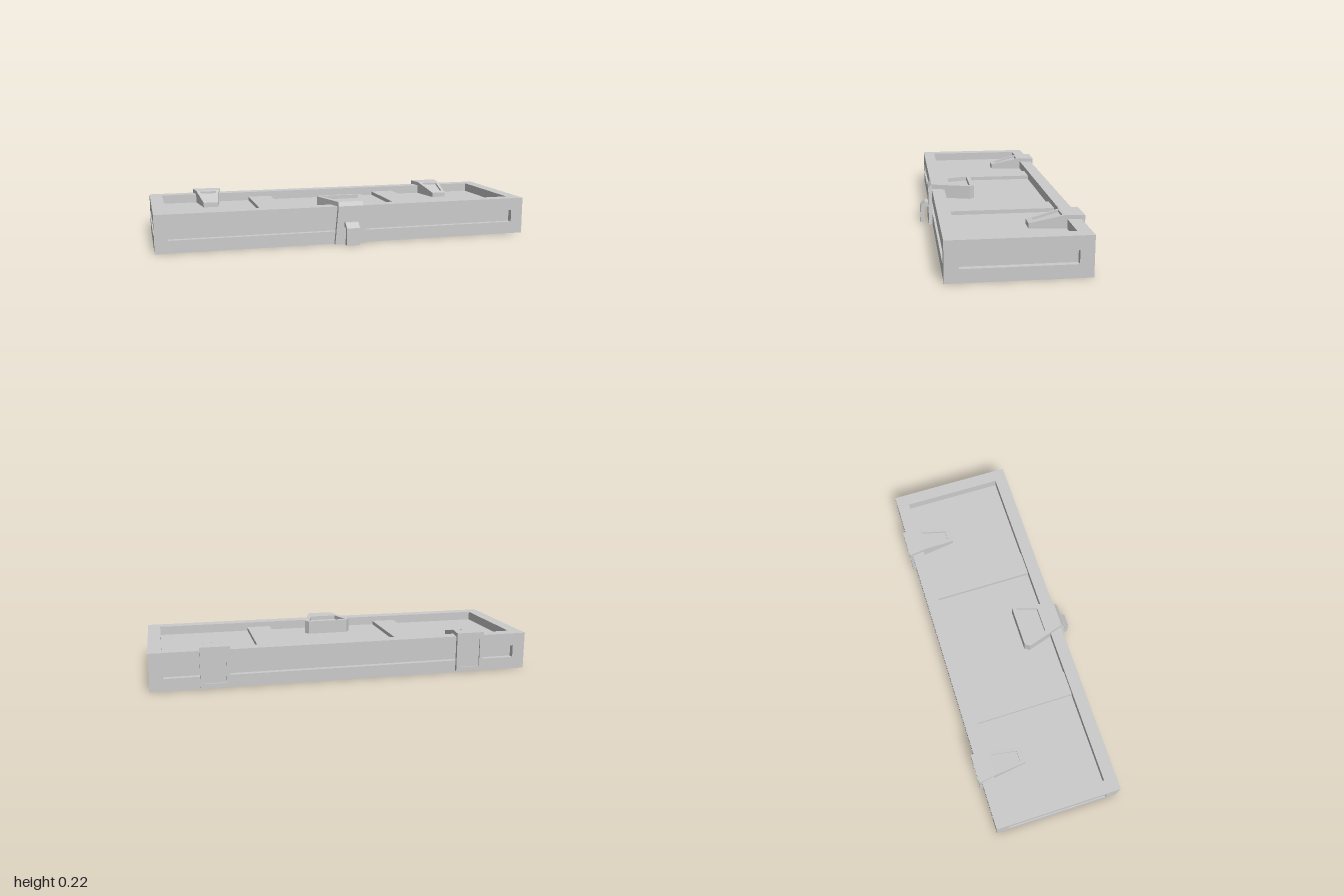
import * as THREE from 'three';

const material = new THREE.MeshStandardMaterial({ color: 0xcccccc, flatShading: true });

// Body: half width, half depth, depth centre, height; and half size of the opening
const [HALF_W, HALF_D, MID_Z, HEIGHT] = [1, 0.3335, -0.0235, 0.197];
const [OPEN_W, OPEN_D] = [0.933, 0.267];

function add(parent, name, geometry) {
  const mesh = new THREE.Mesh(geometry, material);
  mesh.name = name;
  parent.add(mesh);
  return mesh;
}

function box(x0, x1, y0, y1, z0, z1) {
  return new THREE.BoxGeometry(x1 - x0, y1 - y0, z1 - z0)
    .translate((x0 + x1) / 2, (y0 + y1) / 2, (z0 + z1) / 2);
}

// Turns a box inside out and drops its open faces (+x, -x, +y, -y, +z, -z = 0..5)
function cavity(geometry, openFaces) {
  const index = Array.from(geometry.index.array).filter((_, i) => !openFaces.includes(Math.floor(i / 6)));
  geometry.setIndex(index.reverse());
  geometry.clearGroups();
  geometry.computeVertexNormals();
  return geometry;
}

// Outline as a shape, always counter-clockwise, with an optional clockwise hole
function makeShape(outline, hole, flip = 1) {
  const points = (pts, clockwise) => {
    const list = pts.map(([a, b]) => new THREE.Vector2(a, b * flip));
    return THREE.ShapeUtils.isClockWise(list) === clockwise ? list : list.reverse();
  };
  const shape = new THREE.Shape(points(outline, false));
  if (hole) shape.holes.push(new THREE.Path(points(hole, true)));
  return shape;
}

const rect = (x0, x1, y0, y1) => [[x0, y0], [x1, y0], [x1, y1], [x0, y1]];

// Plan outline in (x, z), raised from y0 to y1; topRule may tilt the upper face
function planExtrude(outline, hole, y0, y1, topRule) {
  const g = new THREE.ExtrudeGeometry(makeShape(outline, hole, -1), { depth: y1 - y0, bevelEnabled: false });
  g.rotateX(-Math.PI / 2).translate(0, y0, 0);
  if (topRule) {
    const p = g.attributes.position;
    for (let i = 0; i < p.count; i++) {
      if (p.getY(i) > (y0 + y1) / 2) p.setY(i, topRule(p.getZ(i)));
    }
    g.computeVertexNormals();
  }
  return g;
}

// Side profile in (z, y), extended across x with a half width that depends on y
function sideExtrude(profile, halfWidth) {
  const g = new THREE.ExtrudeGeometry(makeShape(profile), { depth: 2, bevelEnabled: false });
  g.translate(0, 0, -1).rotateY(-Math.PI / 2);
  const p = g.attributes.position;
  for (let i = 0; i < p.count; i++) p.setX(i, p.getX(i) * halfWidth(p.getY(i)));
  g.computeVertexNormals();
  return g;
}

// Outer wall facing +z with a long slot sunk into it
function createWall(half, slotHalf) {
  const wall = new THREE.Group();
  wall.name = 'wall';
  const face = makeShape(rect(-half, half, 0, HEIGHT), rect(-slotHalf, slotHalf, 0.065, 0.13));
  add(wall, 'wallFace', new THREE.ShapeGeometry(face));
  add(wall, 'wallSlot', cavity(box(-slotHalf, slotHalf, 0.065, 0.13, -0.03, 0), [4]));
  return wall;
}

function createFrame() {
  const frame = new THREE.Group();
  frame.name = 'frame';
  for (let i = 0; i < 4; i++) {
    const long = i % 2 === 0;
    const wall = long ? createWall(HALF_W, OPEN_W) : createWall(HALF_D, OPEN_D);
    wall.rotation.y = i * Math.PI / 2;
    wall.translateZ(long ? HALF_D : HALF_W);
    frame.add(wall);
  }
  // Upper and lower rims around the opening
  const rim = makeShape(rect(-HALF_W, HALF_W, -HALF_D, HALF_D), rect(-OPEN_W, OPEN_W, -OPEN_D, OPEN_D));
  add(frame, 'upperRim', new THREE.ShapeGeometry(rim).rotateX(-Math.PI / 2).translate(0, HEIGHT, 0));
  add(frame, 'lowerRim', new THREE.ShapeGeometry(rim).rotateX(Math.PI / 2));
  add(frame, 'innerWalls', cavity(box(-OPEN_W, OPEN_W, 0, HEIGHT, -OPEN_D, OPEN_D), [2, 3]));
  // Sunken panel with two raised bands
  add(frame, 'panel', box(-OPEN_W, OPEN_W, 0.08, 0.15, -OPEN_D, OPEN_D));
  for (const side of [-1, 1]) {
    add(frame, 'panelBand', box(-0.065, 0.065, 0.149, 0.17, -OPEN_D, OPEN_D)).position.x = side * 0.377;
  }
  frame.position.z = MID_Z;
  return frame;
}

function createHinge(x) {
  const hinge = new THREE.Group();
  hinge.name = 'hinge';
  // Back plate with a shallow recessed window
  const plate = makeShape(rect(-0.075, 0.075, 0.009, 0.217), rect(-0.055, 0.055, 0.03, 0.18));
  add(hinge, 'backPlate', new THREE.ExtrudeGeometry(plate, { depth: 0.016, bevelEnabled: false })
    .translate(0, 0, -0.373));
  add(hinge, 'backPlateFloor', box(-0.055, 0.055, 0.03, 0.18, -0.365, -0.357));
  // Flat saddle over the frame
  add(hinge, 'saddle', planExtrude(
    [[-0.075, -0.357], [0.075, -0.357], [0.064, -0.283], [-0.064, -0.283]], null, 0.19, 0.217));
  // Sloping tongue with a pocket, reaching down through the panel
  const slope = (z) => 0.217 - (z + 0.283) * 0.24;
  const pocket = [[-0.045, -0.27], [0.045, -0.27], [0.029, -0.137], [-0.029, -0.137]];
  const tongue = [[-0.064, -0.283], [0.064, -0.283], [0.04, -0.11], [-0.04, -0.11]];
  add(hinge, 'tongue', planExtrude(tongue, pocket, 0.012, 0.2, slope));
  add(hinge, 'pocketFloor', planExtrude(pocket, null, 0.012, 0.2, (z) => slope(z) - 0.012));
  add(hinge, 'tongueRoot', planExtrude(
    [[-0.065, -0.291], [0.065, -0.291], [0.064, -0.283], [-0.064, -0.283]], null, 0.012, 0.2));
  hinge.position.x = x;
  return hinge;
}

function createClasp() {
  const clasp = new THREE.Group();
  clasp.name = 'clasp';
  // Tapered top with a pocket
  const top = [[-0.11, 0.083], [0.11, 0.083], [0.128, 0.11], [0.065, 0.312], [-0.065, 0.312], [-0.128, 0.11]];
  const pocket = [[-0.105, 0.105], [0.105, 0.105], [0.07, 0.215], [-0.07, 0.215]];
  add(clasp, 'claspTop', planExtrude(top, pocket, 0.145, 0.221));
  add(clasp, 'claspPocketFloor', planExtrude(pocket, null, 0.145, 0.2));
  // Front plate flares toward the bottom
  add(clasp, 'claspFront', sideExtrude(
    [[0.309, 0], [0.33, 0], [0.33, 0.2], [0.312, 0.221], [0.309, 0.221]],
    (y) => 0.085 - y * 0.09));
  // Downturned hook
  add(clasp, 'claspHook', sideExtrude(
    [[0.329, 0.09], [0.351, 0.09], [0.351, 0], [0.373, 0], [0.373, 0.09], [0.348, 0.116], [0.329, 0.116]],
    () => 0.035));
  return clasp;
}

export function createModel() {
  const model = new THREE.Group();
  model.name = 'crateLid';
  model.add(createFrame(), createClasp());
  for (const side of [-1, 1]) model.add(createHinge(side * 0.677));
  return model;
}
